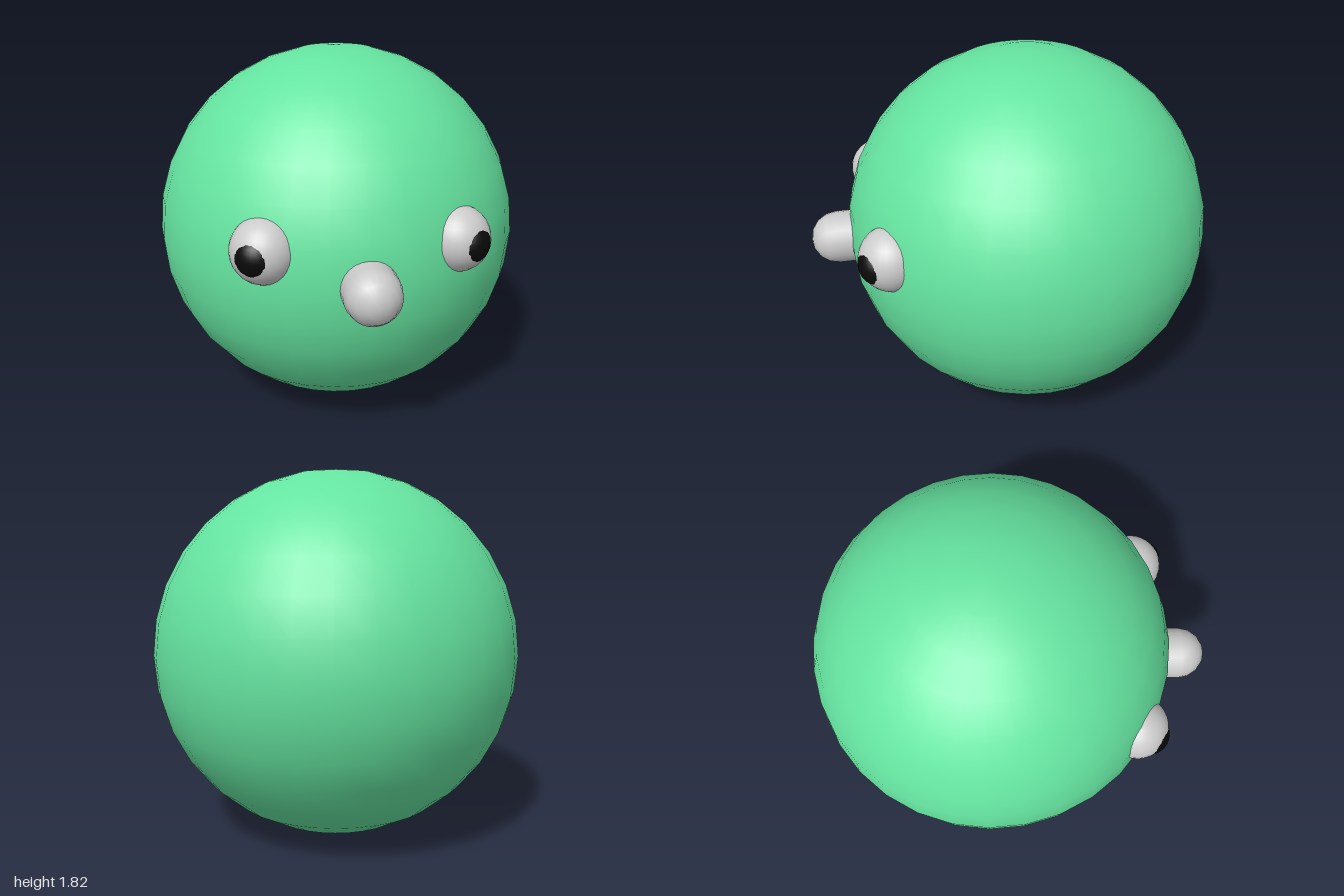
import * as THREE from 'three';

const BODY_RADIUS = 0.908;
const BODY_CENTRE = new THREE.Vector3(0, 0.91, -0.095);
const EYE_YAW = 0.547;

function makeMesh(name, geometry, color) {
  const mesh = new THREE.Mesh(geometry, new THREE.MeshStandardMaterial({ color }));
  mesh.name = name;
  return mesh;
}

// Eyeball with a smaller pupil ball poking through its front, along +z
function createEye(name) {
  const eye = new THREE.Group();
  eye.name = name;
  const white = makeMesh('eyeball', new THREE.SphereGeometry(0.155, 32, 16), 0xcccccc);
  white.position.z = 0.837;
  const pupil = makeMesh('pupil', new THREE.SphereGeometry(0.103, 32, 16), 0x0a0a0a);
  pupil.position.z = 0.9;
  eye.add(white, pupil);
  return eye;
}

export function createModel() {
  const model = new THREE.Group();
  model.name = 'roundCreature';

  // Ball body
  const body = makeMesh('body', new THREE.SphereGeometry(BODY_RADIUS, 32, 16), 0x65e4a0);
  body.position.copy(BODY_CENTRE);
  model.add(body);

  // Eyes, swung out to each side of the face
  for (const [name, side] of [['leftEye', 1], ['rightEye', -1]]) {
    const eye = createEye(name);
    eye.position.set(0, 1.048, BODY_CENTRE.z);
    eye.rotation.y = side * EYE_YAW;
    model.add(eye);
  }

  // Round-ended nose pointing forward
  const nose = makeMesh('nose', new THREE.CapsuleGeometry(0.13, 0.2, 4, 24), 0xcccccc);
  nose.rotation.x = Math.PI / 2;
  nose.position.set(0, 0.91, 0.77);
  model.add(nose);

  return model;
}
